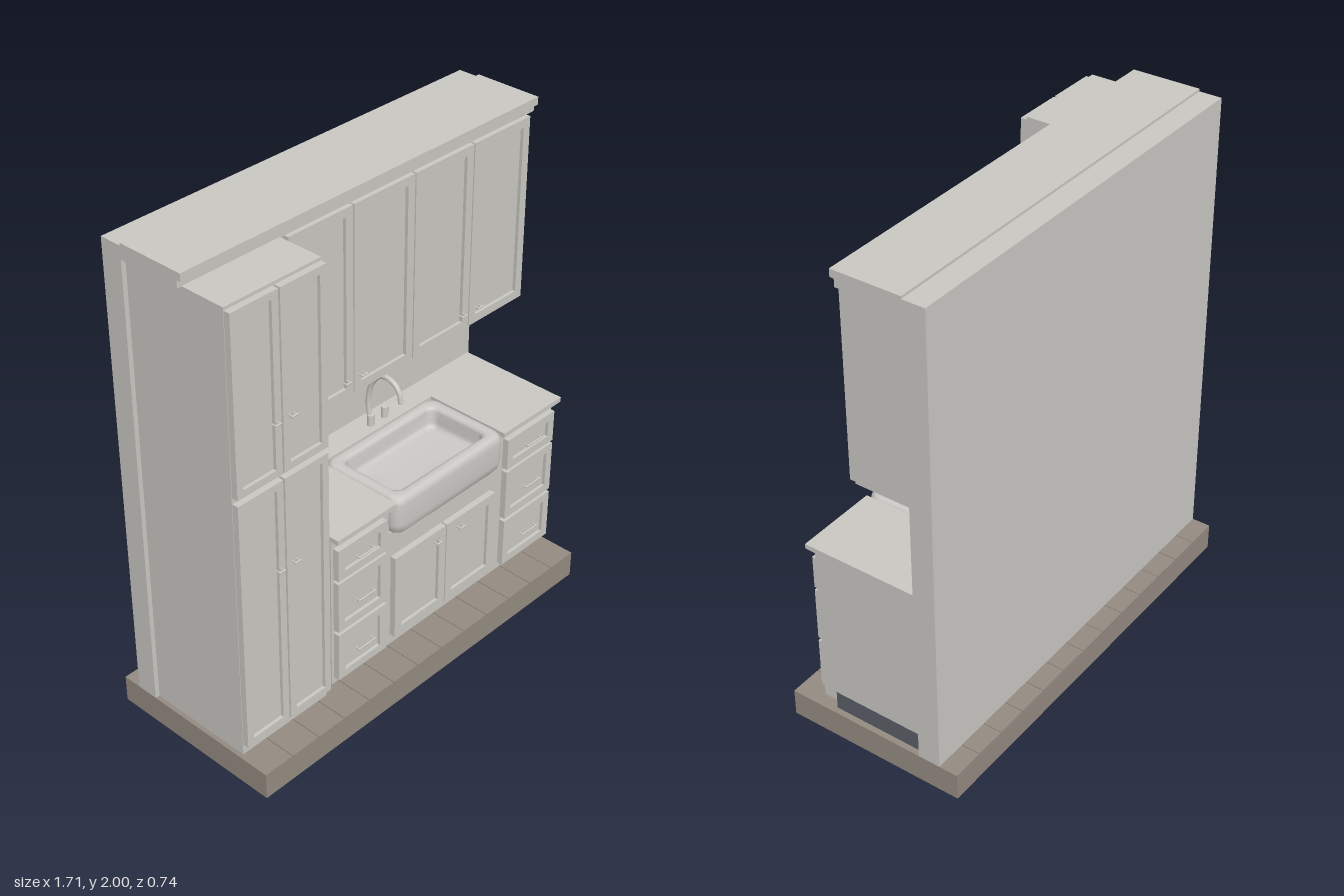
import * as THREE from 'three';

const mat = (name, color, side = THREE.FrontSide) => {
  const m = new THREE.MeshStandardMaterial({ color, side });
  m.name = name;
  return m;
};

export function createModel() {
  const root = new THREE.Group();
  root.name = 'kitchenUnit';
  const paint = mat('cabinetPaint', 0xc9c7c2);
  const ceramic = mat('sinkAndTap', 0xcac9c5, THREE.DoubleSide);
  const floorMat = mat('floorWood', 0x948b81);
  const kickMat = mat('toeKickGrey', 0x595e66);

  const add = (name, geo, material, parent = root) => {
    const m = new THREE.Mesh(geo, material);
    m.name = name;
    parent.add(m);
    return m;
  };
  // Box given by its minimum and maximum on each axis
  const box = (name, x0, x1, y0, y1, z0, z1, material = paint, parent = root) => {
    const m = add(name, new THREE.BoxGeometry(x1 - x0, y1 - y0, z1 - z0), material, parent);
    m.position.set((x0 + x1) / 2, (y0 + y1) / 2, (z0 + z1) / 2);
    return m;
  };
  const rect = (target, x0, x1, y0, y1) => {
    target.moveTo(x0, y0);
    target.lineTo(x1, y0);
    target.lineTo(x1, y1);
    target.lineTo(x0, y1);
    target.closePath();
    return target;
  };
  // Bar handle on two posts
  const handle = (x, y, z, width, parent) => {
    const bar = add('handleBar', new THREE.CylinderGeometry(0.004, 0.004, width, 8), paint, parent);
    bar.rotation.z = Math.PI / 2;
    bar.position.set(x, y, z + 0.018);
    for (const s of [-1, 1]) {
      const post = add('handlePost', new THREE.CylinderGeometry(0.0035, 0.0035, 0.018, 8), paint, parent);
      post.rotation.x = Math.PI / 2;
      post.position.set(x + s * (width / 2 - 0.005), y, z + 0.009);
    }
  };
  // Framed front: raised surround, recessed panel, handle
  const front = (name, x0, x1, y0, y1, z, frame, hx, hy, hw) => {
    const g = new THREE.Group();
    g.name = name;
    root.add(g);
    const s = rect(new THREE.Shape(), x0, x1, y0, y1);
    s.holes.push(rect(new THREE.Path(), x0 + frame, x1 - frame, y0 + frame, y1 - frame));
    const surround = add('surround', new THREE.ExtrudeGeometry(s, { depth: 0.025, bevelEnabled: false }), paint, g);
    surround.position.z = z;
    box('panel', x0 + frame, x1 - frame, y0 + frame, y1 - frame, z, z + 0.012, paint, g);
    handle(hx, hy, z + 0.025, hw, g);
  };

  // Floor: slab with separate planks
  box('floorSlab', -0.855, 0.855, 0, 0.104, -0.37, 0.37, floorMat);
  const planks = 13, pw = 1.71 / planks;
  for (let i = 0; i < planks; i++) {
    const x = -0.855 + i * pw;
    box('floorPlank', x + (i ? 0.0015 : 0), x + pw - (i < planks - 1 ? 0.0015 : 0), 0.104, 0.11, -0.37, 0.37, floorMat);
  }

  // Wall, backsplash and stepped cornice
  box('wall', -0.855, 0.855, 0.11, 1.99, -0.293, -0.203);
  box('backsplash', -0.39, 0.83, 0.82, 1.2, -0.203, -0.19);
  box('corniceLower', -0.855, 0.855, 1.94, 1.97, -0.203, 0.055);
  box('corniceUpper', -0.855, 0.855, 1.97, 2.0, -0.203, 0.072);

  // Tall cupboard
  box('tallCupboard', -0.837, -0.417, 0.11, 1.942, -0.203, 0.238);
  for (const s of [-1, 1]) {
    const c = -0.627, a = c + s * 0.004, b = c + s * 0.208;
    const x0 = Math.min(a, b), x1 = Math.max(a, b);
    front('tallUpperDoor', x0, x1, 1.232, 1.93, 0.238, 0.029, c + s * 0.037, 1.45, 0.03);
    front('tallLowerDoor', x0, x1, 0.155, 1.208, 0.238, 0.029, c + s * 0.037, 0.855, 0.03);
  }

  // Wall cupboards
  box('wallCupboard', -0.39, 0.83, 1.187, 1.94, -0.203, 0.038);
  [-0.13, -0.05, 0.482, 0.57].forEach((hx, i) => {
    const x = -0.39 + i * 0.305;
    front('wallDoor', x + 0.003, x + 0.302, 1.192, 1.932, 0.038, 0.034, hx, 1.26, 0.03);
  });

  // Base cabinets, open in the middle for the sink
  box('baseLeft', -0.39, -0.09, 0.145, 0.806, -0.203, 0.24);
  box('baseRight', 0.495, 0.83, 0.145, 0.806, -0.203, 0.24);
  box('baseMiddle', -0.09, 0.495, 0.145, 0.67, -0.203, 0.24);
  box('baseBack', -0.09, 0.495, 0.67, 0.806, -0.203, -0.085);
  box('toeKick', -0.388, 0.831, 0.11, 0.185, -0.19, 0.185, kickMat);

  // Worktop around the sink
  box('worktopLeft', -0.392, -0.095, 0.806, 0.826, -0.203, 0.278);
  box('worktopRight', 0.5, 0.835, 0.806, 0.826, -0.203, 0.278);
  box('worktopBack', -0.095, 0.5, 0.806, 0.826, -0.203, -0.085);

  // Drawers and sink doors
  const rows = [[0.63, 0.765, 0.7], [0.398, 0.617, 0.505], [0.172, 0.383, 0.277]];
  for (const [y0, y1, hy] of rows) {
    front('leftDrawer', -0.378, -0.128, y0, y1, 0.24, 0.033, -0.25, hy, 0.09);
    front('rightDrawer', 0.543, 0.818, y0, y1, 0.24, 0.033, 0.683, hy, 0.09);
  }
  front('sinkDoorLeft', -0.08, 0.196, 0.192, 0.56, 0.24, 0.036, 0.14, 0.52, 0.03);
  front('sinkDoorRight', 0.202, 0.478, 0.192, 0.56, 0.24, 0.036, 0.27, 0.52, 0.03);

  // Sink: rounded rectangles lofted up the outside, over the rim and into the bowl
  const loops = [[0.658, 0.04], [0.666, 0.02], [0.685, 0.006], [0.715, 0], [0.8, 0], [0.82, 0.004],
    [0.829, 0.013], [0.831, 0.025], [0.831, 0.04], [0.826, 0.05], [0.815, 0.055], [0.77, 0.058],
    [0.755, 0.064], [0.748, 0.08]];
  const pos = [], idx = [], per = 6, n = per * 4;
  const hx = 0.2975, hz = 0.1875, cx = 0.2025, cz = 0.0975;
  for (const [y, inset] of loops) {
    const r = Math.max(0.045 - inset * 0.2, 0.02);
    for (let k = 0; k < n; k++) {
      const q = Math.floor(k / per), a = (q + (k % per) / (per - 1)) * Math.PI / 2;
      const sx = q === 0 || q === 3 ? 1 : -1, sz = q < 2 ? 1 : -1;
      pos.push(cx + sx * (hx - inset - r) + r * Math.cos(a), y, cz + sz * (hz - inset - r) + r * Math.sin(a));
    }
  }
  for (let j = 0; j < loops.length - 1; j++) {
    for (let k = 0; k < n; k++) {
      const a = j * n + k, b = j * n + (k + 1) % n;
      idx.push(a, a + n, b, b, a + n, b + n);
    }
  }
  const last = (loops.length - 1) * n;
  pos.push(cx, 0.748, cz);
  for (let k = 0; k < n; k++) idx.push(last + k, pos.length / 3 - 1, last + (k + 1) % n);
  const sinkGeo = new THREE.BufferGeometry();
  sinkGeo.setAttribute('position', new THREE.Float32BufferAttribute(pos, 3));
  sinkGeo.setIndex(idx);
  sinkGeo.computeVertexNormals();
  add('sink', sinkGeo, ceramic);

  // Tap with swan neck, and soap pump beside it
  const neck = new THREE.CatmullRomCurve3([[0.85, -0.126], [0.9, -0.135], [0.96, -0.134], [1.02, -0.115],
    [1.06, -0.082], [1.071, -0.045], [1.058, -0.005], [1.03, 0.017], [0.992, 0.025]]
    .map(([y, z]) => new THREE.Vector3(0.203, y, z)));
  add('tapNeck', new THREE.TubeGeometry(neck, 40, 0.0105, 12), ceramic);
  const cyl = (name, x, y0, y1, z, r) => {
    add(name, new THREE.CylinderGeometry(r, r, y1 - y0, 16), ceramic).position.set(x, (y0 + y1) / 2, z);
  };
  cyl('tapBase', 0.203, 0.826, 0.872, -0.125, 0.014);
  const tip = add('tapSpoutEnd', new THREE.CylinderGeometry(0.0105, 0.0105, 0.004, 12), ceramic);
  tip.position.set(0.203, 0.992, 0.025);
  cyl('soapPump', 0.28, 0.826, 0.872, -0.125, 0.014);

  return root;
}
